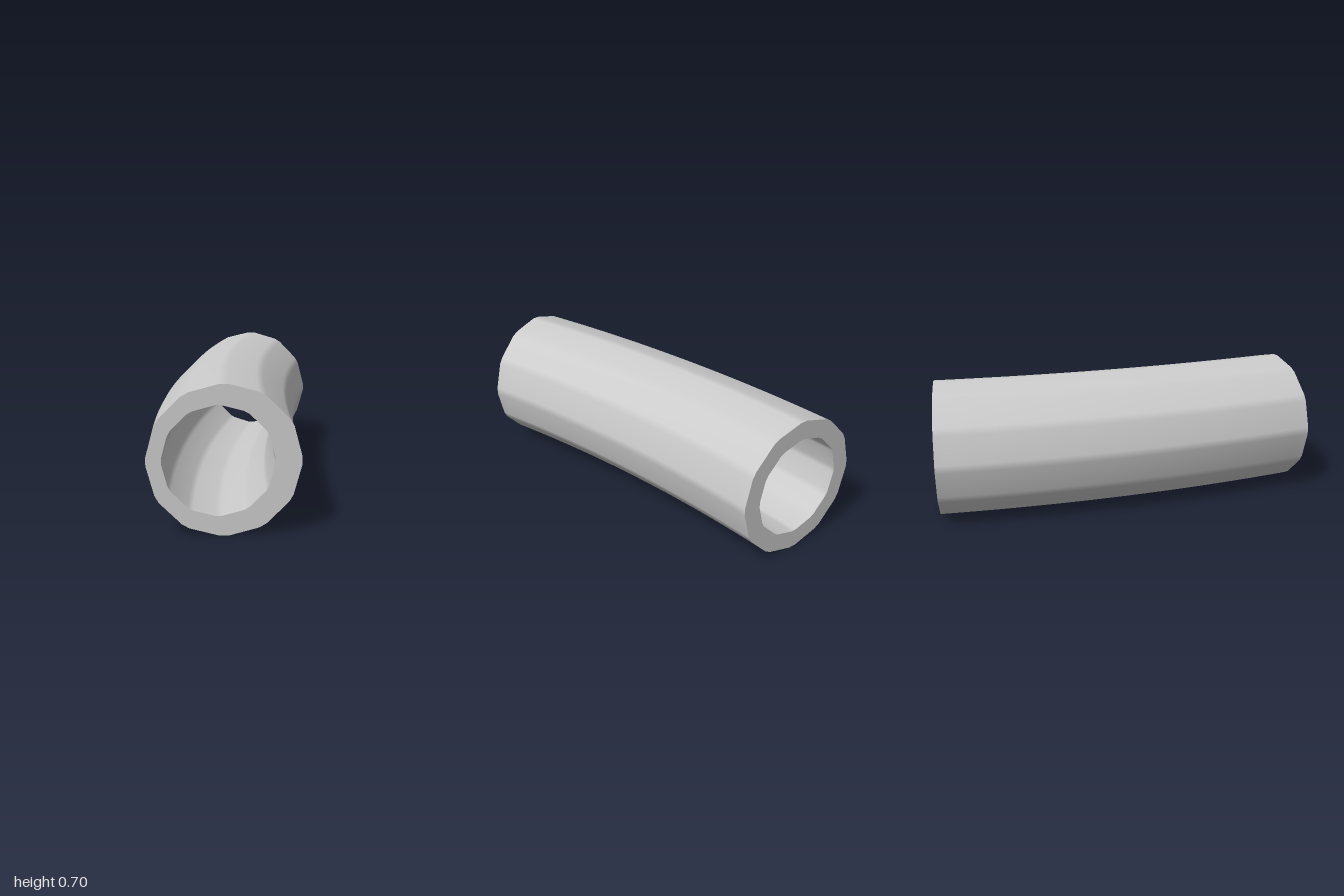
import * as THREE from 'three';

const CORNERS = 12, STEPS = 32;
const BEND = THREE.MathUtils.degToRad(15);
const OUTER = 0.3525, SEAM = 0.283, BORE = 0.257, MID_Y = 0.352;
const LENGTH_Z = 1.91, START_SLOPE = 0.025, END_SLOPE = 0.268;
const BORE_SHIFT = -0.0255; // the bore drifts sideways towards the front end

// One twelve-cornered ring with narrow chamfers, at t = 0 (back) to 1 (front)
function ring(t, radius, shift = 0) {
  const a = BEND * t;
  const cx = -0.135 + LENGTH_Z * (START_SLOPE * t + (END_SLOPE - START_SLOPE) * t * t / 2);
  const cz = -1 + LENGTH_Z * t;
  const points = [];
  for (let i = 0; i < CORNERS; i++) {
    for (const chamfer of [-3.2, 3.2]) {
      const angle = THREE.MathUtils.degToRad(i * 360 / CORNERS + chamfer);
      const u = radius * Math.cos(angle) + shift * t;
      points.push([cx + u * Math.cos(a), MID_Y + radius * Math.sin(angle), cz - u * Math.sin(a)]);
    }
  }
  return points;
}

// Skin a list of closed rings into one smooth surface
function skin(name, rings) {
  const n = rings[0].length, index = [];
  for (let i = 0; i < rings.length - 1; i++) {
    for (let j = 0; j < n; j++) {
      const k = (j + 1) % n;
      const a = i * n + j, b = i * n + k, c = a + n, d = b + n;
      index.push(a, b, d, a, d, c);
    }
  }
  const geometry = new THREE.BufferGeometry();
  geometry.setAttribute('position', new THREE.Float32BufferAttribute(rings.flat(2), 3));
  geometry.setIndex(index);
  geometry.computeVertexNormals();
  const mesh = new THREE.Mesh(geometry, new THREE.MeshStandardMaterial({ color: 0xcccccc }));
  mesh.name = name;
  return mesh;
}

export function createModel() {
  const group = new THREE.Group();
  group.name = 'curvedPipe';
  const stations = Array.from({ length: STEPS + 1 }, (_, i) => i / STEPS);
  const bore = t => ring(t, BORE, BORE_SHIFT);

  group.add(
    // Long walls
    skin('outerWall', stations.map(t => ring(t, OUTER))),
    skin('innerWall', [...stations].reverse().map(bore)),
    // Front end: pipe rim and the liner edge inside it
    skin('frontRim', [ring(1, OUTER), ring(1, SEAM)]),
    skin('frontLinerEdge', [ring(1, SEAM), bore(1)]),
    // Back end
    skin('backRim', [bore(0), ring(0, OUTER)]),
  );
  return group;
}
